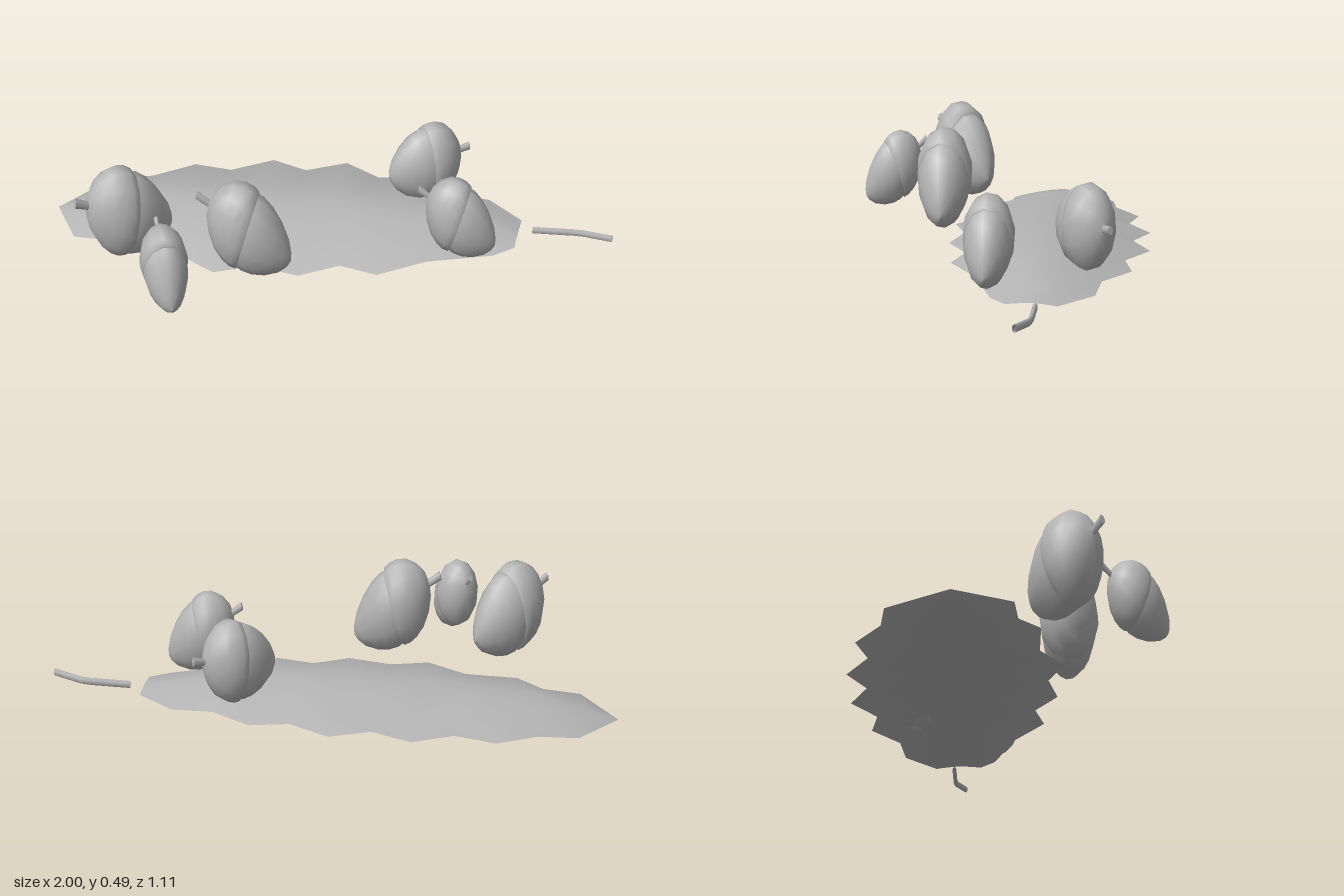
import * as THREE from 'three';

const STRETCH = 1.65; // acorns and stalk are taller than they are wide

export function createModel() {
  const model = new THREE.Group();
  model.name = 'leafAndAcorns';
  const grey = new THREE.MeshStandardMaterial({ color: 0xb4b4b4 });
  grey.name = 'grey';
  const greySheet = grey;
  greySheet.side = THREE.DoubleSide;

  const add = (parent, geometry, name) => {
    const mesh = new THREE.Mesh(geometry, grey);
    mesh.name = name;
    parent.add(mesh);
    return mesh;
  };

  // Leaf: each row is back edge x, z, front edge x, z, edge height, arch height
  const rows = [
    [-1, -0.41, -1, -0.41, 0, 0],
    [-0.76, -0.55, -0.96, -0.17, 0.018, 0.045],
    [-0.61, -0.51, -0.83, -0.1, 0.03, 0.07],
    [-0.43, -0.54, -0.77, 0.01, 0.042, 0.077],
    [-0.3, -0.45, -0.58, 0.09, 0.055, 0.08],
    [-0.12, -0.47, -0.48, 0.23, 0.065, 0.083],
    [-0.01, -0.355, -0.32, 0.24, 0.075, 0.085],
    [0.16, -0.36, -0.18, 0.34, 0.083, 0.087],
    [0.26, -0.22, -0.02, 0.32, 0.09, 0.083],
    [0.41, -0.19, 0.1, 0.41, 0.095, 0.075],
    [0.5, -0.04, 0.3, 0.375, 0.1, 0.065],
    [0.64, 0.035, 0.55, 0.39, 0.1, 0.035],
    [0.72, 0.2, 0.64, 0.365, 0.105, 0.008],
  ];
  const COLS = 8;
  const positions = [];
  const index = [];
  rows.forEach(([bx, bz, fx, fz, edge, arch], r) => {
    for (let c = 0; c <= COLS; c++) {
      const t = c / COLS;
      const rise = 1 - Math.pow(Math.abs(2 * t - 1), 1.5);
      positions.push(bx + (fx - bx) * t, edge + arch * rise, bz + (fz - bz) * t);
      if (r > 0 && c > 0) {
        const d = r * (COLS + 1) + c;
        const b = d - COLS - 1;
        index.push(b - 1, b, d, b - 1, d, d - 1);
      }
    }
  });
  const leaf = new THREE.BufferGeometry();
  leaf.setAttribute('position', new THREE.Float32BufferAttribute(positions, 3));
  leaf.setIndex(index);
  leaf.computeVertexNormals();
  add(model, leaf, 'leaf');

  // Leaf stalk: bent tube, separate from the leaf, flattened sideways
  const stalkPath = new THREE.CurvePath();
  const bends = [[0.735, 0.117, 0.285], [0.9, 0.128, 0.355], [0.995, 0.146, 0.44]]
    .map(([x, y, z]) => new THREE.Vector3(x, y / STRETCH, z));
  stalkPath.add(new THREE.LineCurve3(bends[0], bends[1]));
  stalkPath.add(new THREE.LineCurve3(bends[1], bends[2]));
  const stalk = add(model, new THREE.TubeGeometry(stalkPath, 8, 0.009, 6), 'leafStalk');
  stalk.scale.y = STRETCH;

  // Acorn parts of unit cap radius: the cap rim sits at the origin, cap upward
  const lathe = (points) =>
    new THREE.LatheGeometry(points.map(([r, h]) => new THREE.Vector2(r, h)), 12);
  const nutGeometry = lathe([
    [0, -1.55], [0.18, -1.48], [0.42, -1.28], [0.68, -0.9], [0.85, -0.5], [0.92, -0.15], [0.9, 0.1],
  ]);
  const capGeometry = lathe([
    [0.88, 0], [0.96, 0.03], [1, 0.25], [0.97, 0.52], [0.85, 0.85], [0.6, 1.16], [0.3, 1.36], [0, 1.42],
  ]);
  const twigGeometry = new THREE.CylinderGeometry(0.11, 0.09, 0.5, 6).translate(0, 1.6, 0);

  // Acorns: rim centre, direction of the cap, size
  const acorns = [
    { at: [0.39, 0.28, -0.01], up: [0.97, 0.1, -0.19], size: 0.1 },
    { at: [0.425, 0.262, 0.36], up: [-0.83, 0.4, -0.37], size: 0.094 },
    { at: [-0.355, 0.29, 0.31], up: [-0.85, 0.41, -0.34], size: 0.11 },
    { at: [-0.765, 0.293, 0.105], up: [-0.91, 0.3, 0.275], size: 0.114 },
    { at: [-0.675, 0.262, 0.435], up: [-0.05, 0.45, -0.89], size: 0.086 },
  ];
  for (const { at, up, size } of acorns) {
    const stretched = new THREE.Group();
    stretched.name = 'acorn';
    stretched.position.set(...at);
    stretched.scale.y = STRETCH;
    const acorn = new THREE.Group();
    acorn.name = 'acornBody';
    acorn.scale.setScalar(size);
    acorn.quaternion.setFromUnitVectors(
      new THREE.Vector3(0, 1, 0), new THREE.Vector3(...up).normalize());
    add(acorn, nutGeometry, 'nut');
    add(acorn, capGeometry, 'cap');
    add(acorn, twigGeometry, 'twig');
    stretched.add(acorn);
    model.add(stretched);
  }
  return model;
}
